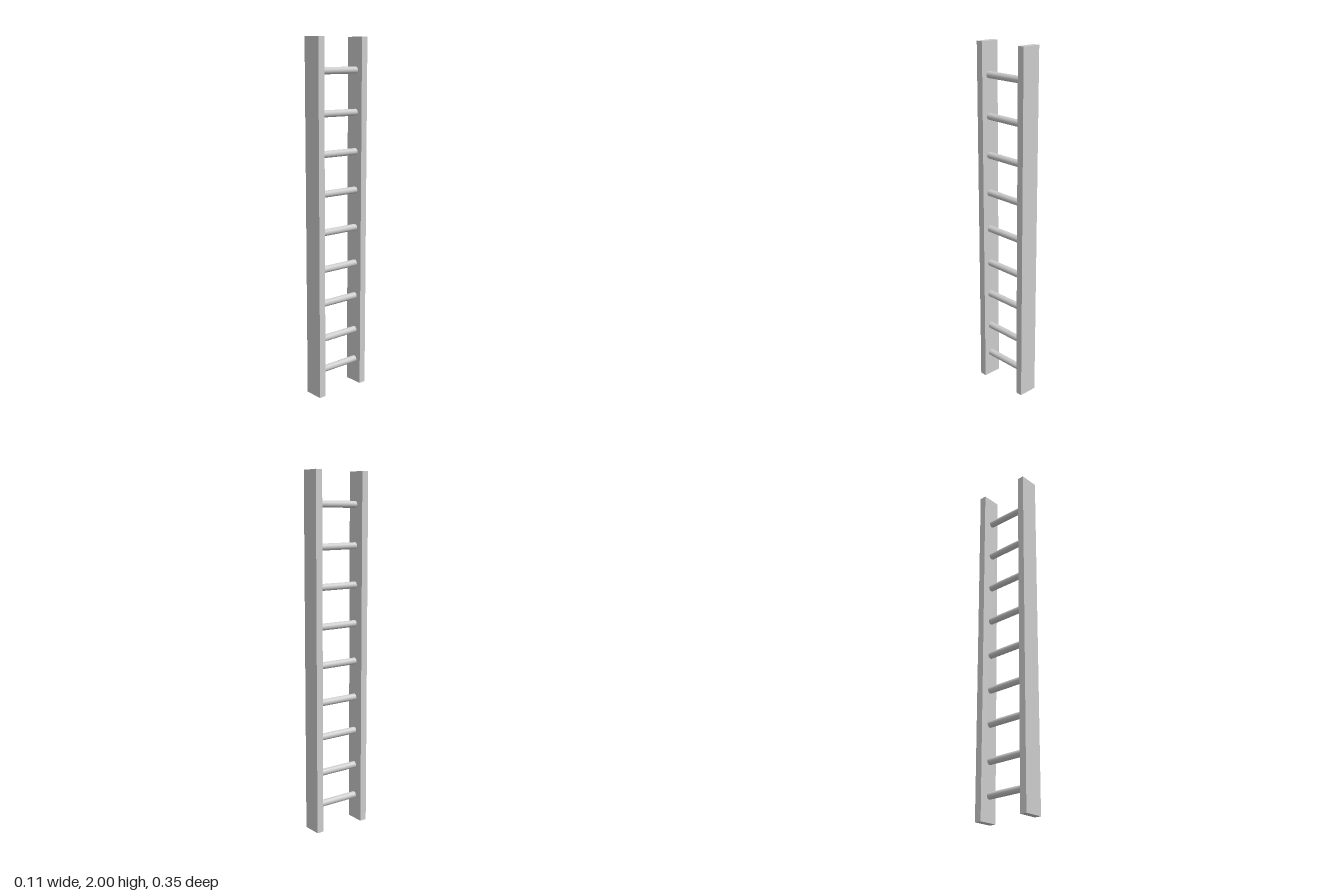
import * as THREE from 'three';

export function createModel() {
  const group = new THREE.Group();
  const material = new THREE.MeshStandardMaterial({ color: 0xcccccc });

  const add = (name, geometry, x, y, z) => {
    const mesh = new THREE.Mesh(geometry, material);
    mesh.name = name;
    mesh.position.set(x, y, z);
    group.add(mesh);
    return mesh;
  };

  // Two upright side rails
  const rail = new THREE.BoxGeometry(0.112, 2, 0.04);
  add('frontRail', rail, 0, 1, 0.152);
  add('backRail', rail, 0, 1, -0.154);

  // Round rungs, unevenly spaced and sagging very slightly towards the back
  const rung = new THREE.CylinderGeometry(0.019, 0.019, 0.27, 32).rotateX(Math.PI / 2);
  const heights = [0.142, 0.327, 0.535, 0.733, 0.944, 1.16, 1.378, 1.596, 1.823];
  heights.forEach((y, i) => {
    add(`rung${i + 1}`, rung, 0.007, y, -0.001).rotation.x = i === 8 ? 0 : -0.012;
  });

  return group;
}
